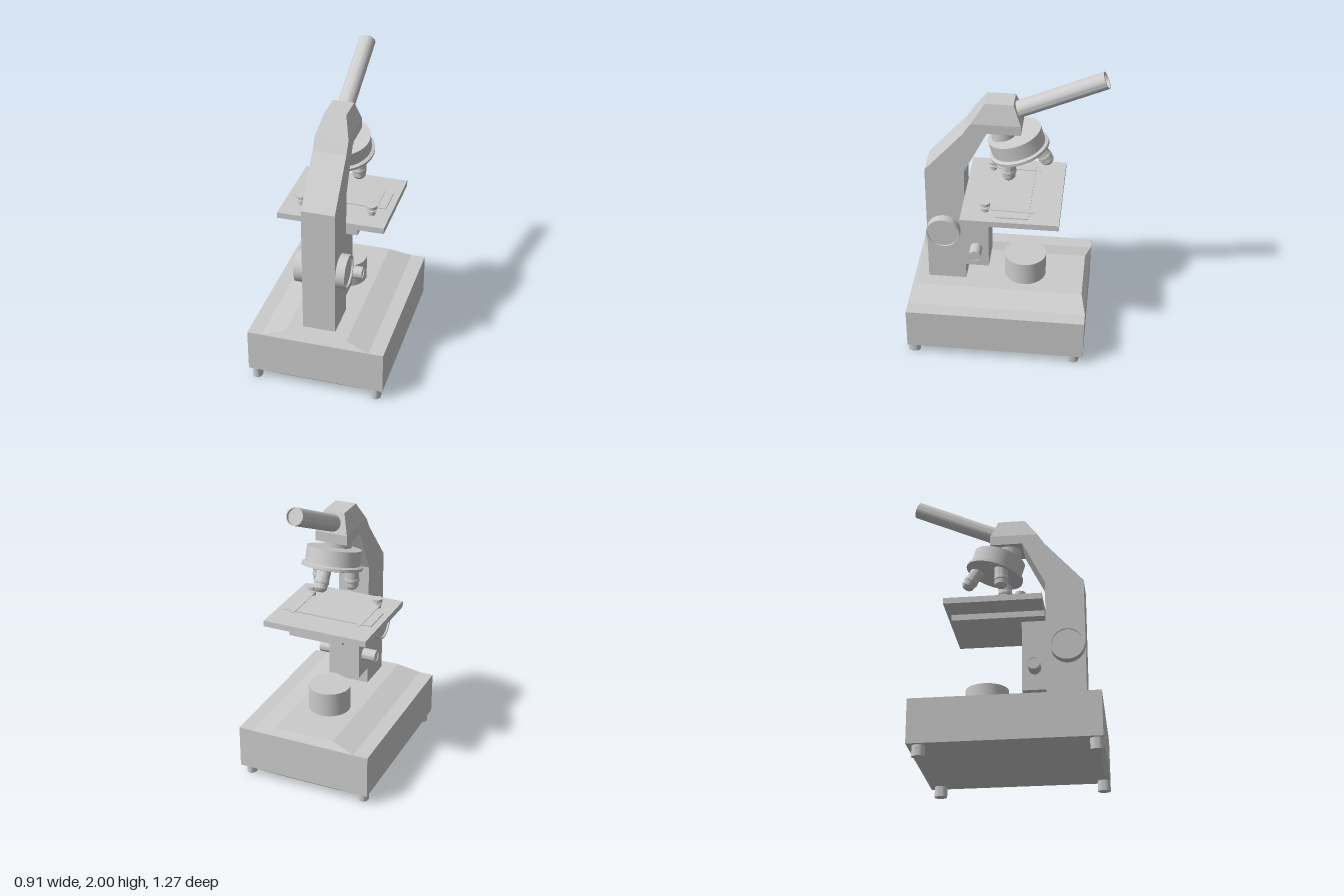
import * as THREE from 'three';
import { toCreasedNormals } from 'three/addons/utils/BufferGeometryUtils.js';
import { ConvexGeometry } from 'three/addons/geometries/ConvexGeometry.js';

const material = new THREE.MeshStandardMaterial({ color: 0xcccccc });
const UP = new THREE.Vector3(0, 1, 0);

export function createModel() {
  const model = new THREE.Group();

  const add = (name, geometry, x = 0, y = 0, z = 0) => {
    const mesh = new THREE.Mesh(geometry, material);
    mesh.name = name;
    mesh.position.set(x, y, z);
    model.add(mesh);
    return mesh;
  };

  // Box given by its limits
  const box = (name, [x0, x1], [y0, y1], [z0, z1]) =>
    add(name, new THREE.BoxGeometry(x1 - x0, y1 - y0, z1 - z0),
      (x0 + x1) / 2, (y0 + y1) / 2, (z0 + z1) / 2);

  // Four-sided frustum between two level rectangles [halfWidth, y, zMin, zMax]
  const frustum = (name, ...rects) => {
    const points = rects.flatMap(([w, y, z0, z1]) =>
      [[-w, z0], [w, z0], [w, z1], [-w, z1]].map(([x, z]) => new THREE.Vector3(x, y, z)));
    return add(name, new ConvexGeometry(points));
  };

  // Turned part, [radius, height] profile running from the bottom axis to the top axis,
  // standing at a point and growing along a direction
  const turned = (name, profile, at, direction = [0, 1, 0]) => {
    const lathe = new THREE.LatheGeometry(profile.map(p => new THREE.Vector2(...p)), 36);
    const mesh = add(name, toCreasedNormals(lathe, 0.5), ...at);
    mesh.quaternion.setFromUnitVectors(UP, new THREE.Vector3(...direction).normalize());
    return mesh;
  };
  const rod = (r, h) => [[0, 0], [r, 0], [r, h], [0, h]];
  const cup = (r, h, rim, depth) =>
    [[0, 0], [r, 0], [r, h], [r - rim, h], [r - rim, h - depth], [0, h - depth]];

  // Base with raised top and bulging underside
  box('base', [-0.457, 0.457], [0.07, 0.36], [-0.553, 0.632]);
  frustum('baseTop', [0.36, 0.36, -0.553, 0.632], [0.205, 0.405, -0.52, 0.602]);
  frustum('baseUnderside', [0.36, 0.07, -0.553, 0.632], [0.205, 0.042, -0.52, 0.602]);

  // Feet, slightly oval
  for (const x of [-0.407, 0.407])
    for (const z of [-0.482, 0.592])
      turned('foot', rod(0.032, 0.08), [x, 0, z]).scale.z = 1.3;

  // Lamp housing
  turned('lamp', rod(0.14, 0.175), [0, 0.395, -0.122]);

  // Arm: side profile [z, y] with the focus block, extruded across the width
  const armProfile = [
    [0.525, 0.4], [0.525, 1.28], [0.27, 1.57], [0.222, 1.645], [-0.095, 1.645],
    [-0.095, 1.58], [0.12, 1.58], [0.27, 1.28], [0.27, 1.0], [0.115, 1.0],
    [0.115, 0.52], [0.27, 0.52], [0.27, 0.4],
  ];
  const armShape = new THREE.Shape(armProfile.map(([z, y]) => new THREE.Vector2(-z, y)));
  const armGeometry = new THREE.ExtrudeGeometry(armShape, { depth: 0.218, bevelEnabled: false });
  armGeometry.translate(0, 0, -0.109).rotateY(Math.PI / 2);
  add('arm', armGeometry);
  frustum('head', [0.109, 1.645, -0.095, 0.222], [0.07, 1.775, -0.045, 0.135]);

  // Eyepiece tube with a recessed end
  turned('eyepiece', cup(0.055, 0.65, 0.007, 0.02), [0, 1.683, -0.017], [0, 0.41, -0.912]);

  // Focus knobs on both sides
  for (const side of [-1, 1]) {
    turned('coarseKnob', cup(0.112, 0.07, 0.012, 0.012), [side * 0.098, 0.81, 0.412], [side, 0, 0]);
    turned('fineKnob', cup(0.041, 0.105, 0.006, 0.006), [side * 0.098, 0.667, 0.198], [side, 0, 0]);
  }

  // Stage and slide
  box('stage', [-0.355, 0.355], [1.04, 1.08], [-0.362, 0.27]);
  box('stageSupport', [-0.183, 0.183], [1.0, 1.04], [-0.335, 0.27]);
  box('slide', [-0.31, 0.31], [1.078, 1.087], [-0.165, 0.042]);

  // Stage clips: turned post and a tapering spring blade
  const bladeShape = new THREE.Shape([
    [-0.028, -0.02], [0.028, -0.02], [0.028, 0.02], [0.017, 0.28], [0.010, 0.32],
    [-0.010, 0.32], [-0.017, 0.28], [-0.028, 0.02],
  ].map(p => new THREE.Vector2(...p)));
  const bladeGeometry = new THREE.ExtrudeGeometry(bladeShape, { depth: 0.004, bevelEnabled: false });
  bladeGeometry.rotateX(-Math.PI / 2);
  for (const x of [-0.235, 0.235]) {
    turned('clipPost', [[0, 0], [0.024, 0], [0.024, 0.025], [0.03, 0.028], [0.03, 0.034],
      [0.02, 0.036], [0.02, 0.045], [0.034, 0.047], [0.034, 0.068], [0, 0.068]], [x, 1.078, 0.12]);
    add('clipBlade', bladeGeometry, x, 1.105, 0.12).rotation.x = -0.055;
  }

  // Tilted turret below the head
  turned('turretNeck', rod(0.082, 0.14), [0, 1.45, 0.02]);
  turned('turret', [[0, 0], [0.18, 0], [0.196, 0.004], [0.196, 0.022], [0.176, 0.03],
    [0.176, 0.13], [0, 0.13]], [0, 1.405, -0.08], [0, 0.958, 0.287]);

  // Objectives: an upright pair and one leaning to the back
  const objective = [[0, 0.2], [0.045, 0.2], [0.045, 0.075], [0.048, 0.07], [0.048, 0.055],
    [0.044, 0.05], [0.042, 0.02], [0.03, 0.005], [0.022, 0], [0, 0]].reverse();
  for (const x of [-0.113, 0.113]) turned('objective', objective, [x, 1.255, -0.02]);
  turned('objective', objective, [0, 1.317, -0.272], [0, 0.84, 0.54]);

  return model;
}
